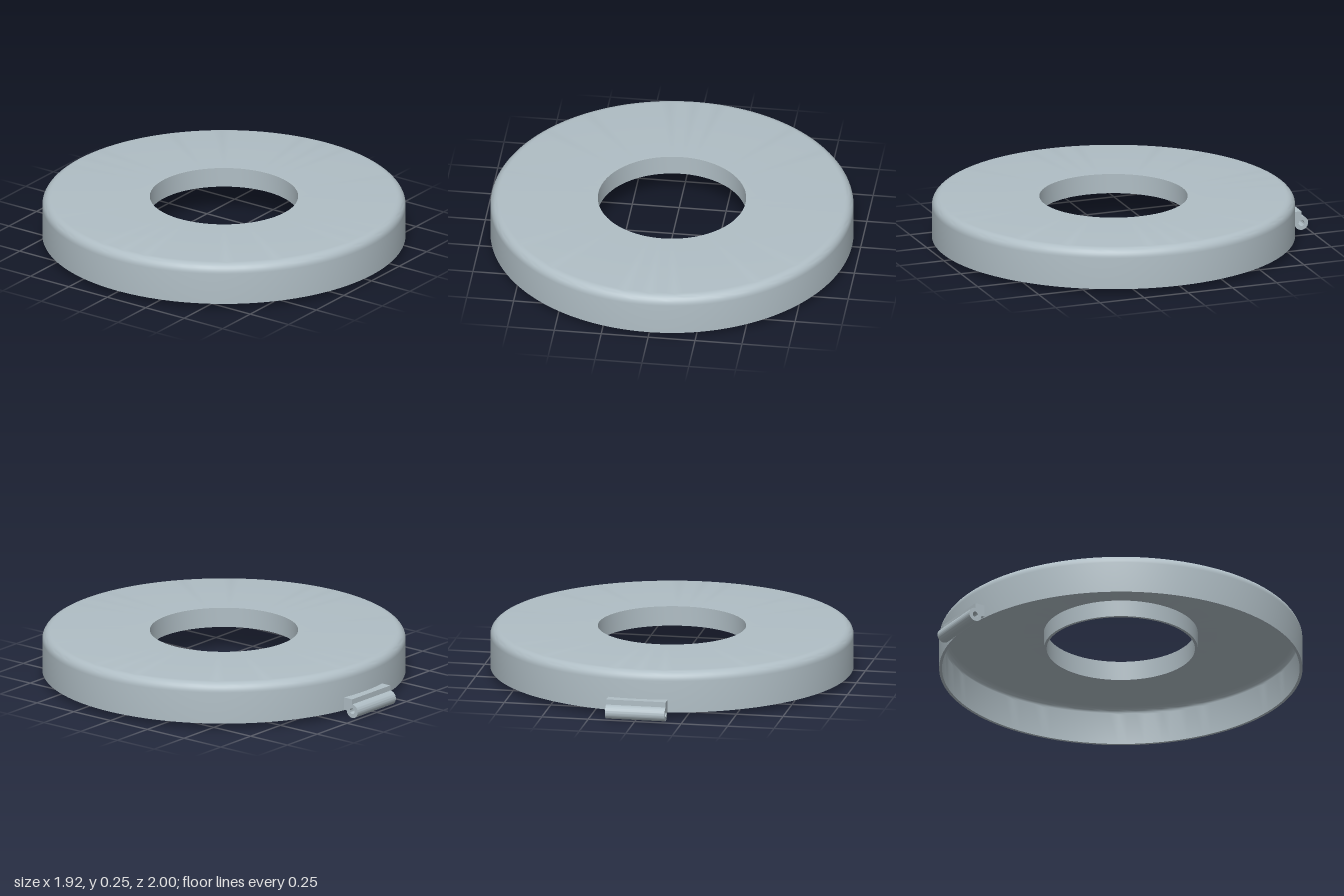
import * as THREE from 'three';
import { toCreasedNormals } from 'three/addons/utils/BufferGeometryUtils.js';

const blueGrey = new THREE.MeshStandardMaterial({ color: 0xb0bec5 });
blueGrey.name = 'blueGrey';

// Quarter-round profile points, from angle a0 to a1 about (cx, cy)
function arc(cx, cy, r, a0, a1, n = 8) {
  return Array.from({ length: n + 1 }, (_, i) => {
    const a = a0 + ((a1 - a0) * i) / n;
    return new THREE.Vector2(cx + r * Math.cos(a), cy + r * Math.sin(a));
  });
}

// Hollow ring cover: outer skirt, rounded shoulder, flat top and short inner collar
function makeCover() {
  const R = 0.96, hole = 0.392, top = 0.253, bottom = 0.032, collarBottom = 0.147;
  const wall = 0.015, round = 0.05;
  const cx = R - round, cy = top - round;
  const P = (r, y) => new THREE.Vector2(r, y);
  const profile = [
    P(R - wall, bottom), P(R, bottom),
    ...arc(cx, cy, round, 0, Math.PI / 2),
    P(hole, top), P(hole, collarBottom),
    P(hole + wall, collarBottom), P(hole + wall, top - wall),
    ...arc(cx, cy, round - wall, Math.PI / 2, 0),
    P(R - wall, bottom),
  ];
  const cover = new THREE.Mesh(toCreasedNormals(new THREE.LatheGeometry(profile, 128), 0.6), blueGrey);
  cover.name = 'ringCover';
  cover.position.z = 0.04;
  return cover;
}

// Hinge: mounting block joined to a barrel with a pin hole through it
function makeHinge() {
  const width = 0.32, r = 0.0375, u = 0.9625, inner = 0.907, blockTop = 0.103;
  const shape = new THREE.Shape();
  shape.moveTo(inner, r);
  shape.lineTo(u - r, r);
  shape.absarc(u, r, r, Math.PI, Math.PI * 2.5, false);
  shape.lineTo(u, blockTop);
  shape.lineTo(inner, blockTop);
  shape.closePath();
  const pinHole = new THREE.Path();
  pinHole.absarc(u, r, 0.016, 0, Math.PI * 2, true);
  shape.holes.push(pinHole);

  const geo = new THREE.ExtrudeGeometry(shape, { depth: width, bevelEnabled: false, curveSegments: 24 });
  geo.translate(0, 0, -width / 2);
  geo.rotateY(Math.PI / 2);
  const hinge = new THREE.Mesh(toCreasedNormals(geo, 0.6), blueGrey);
  hinge.name = 'hinge';
  return hinge;
}

export function createModel() {
  const model = new THREE.Group();
  model.name = 'hingedRingCover';
  model.add(makeCover(), makeHinge());
  return model;
}
